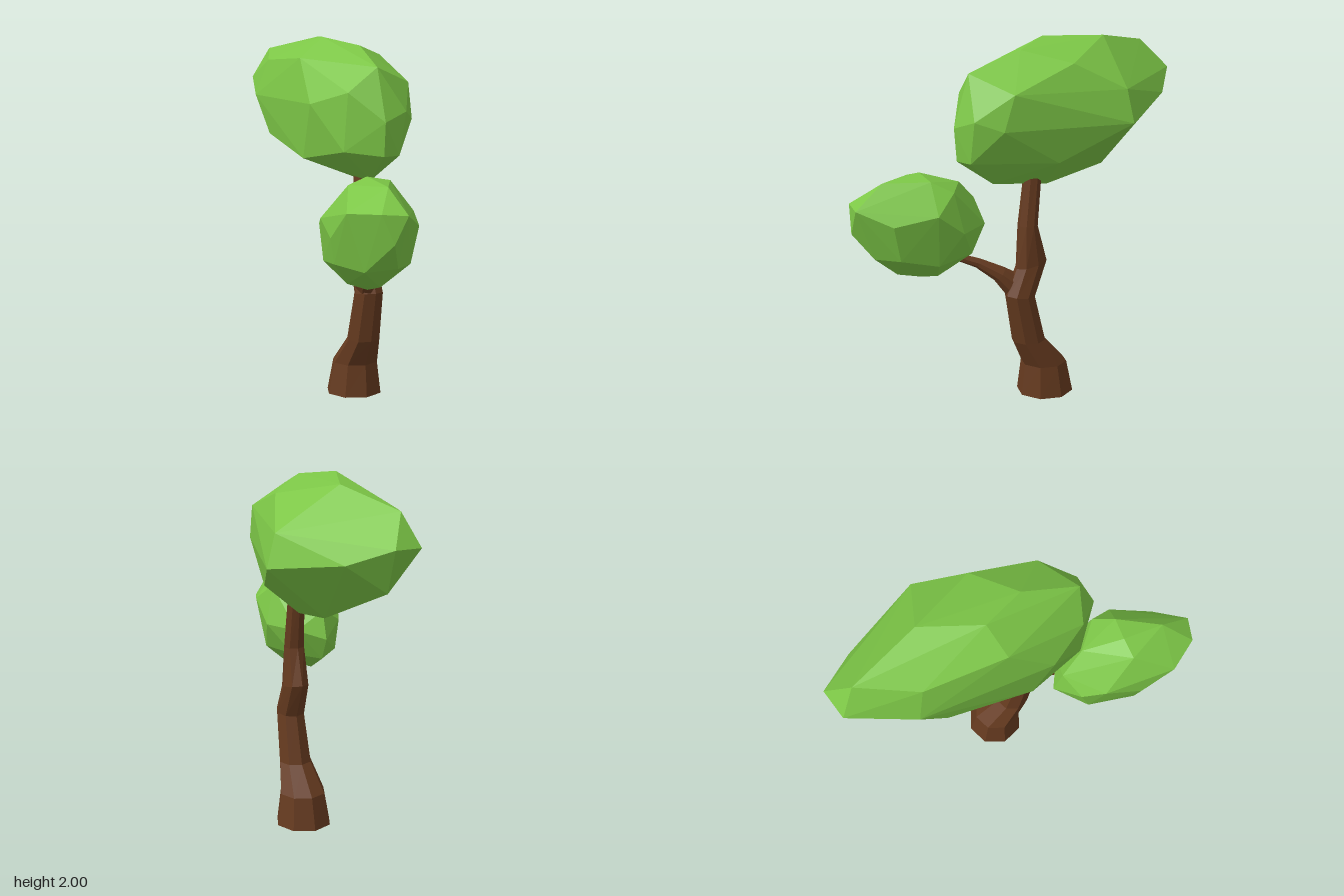
import * as THREE from 'three';
import { ConvexGeometry } from 'three/addons/geometries/ConvexGeometry.js';

const SIDES = 8;
const bark = new THREE.MeshStandardMaterial({ color: 0x653a1f, flatShading: true });
const leaf = new THREE.MeshStandardMaterial({ color: 0x7cc646, flatShading: true });

// Closed tube through rings of [x, y, z, radiusX, radiusZ, tilt about x]
function loft(rings) {
  const pos = [], index = [];
  const xAxis = new THREE.Vector3(1, 0, 0);
  for (const [x, y, z, rx, rz, tilt = 0] of rings) {
    for (let k = 0; k < SIDES; k++) {
      const a = (k / SIDES) * Math.PI * 2;
      const p = new THREE.Vector3(Math.cos(a) * rx, 0, Math.sin(a) * rz).applyAxisAngle(xAxis, tilt);
      pos.push(x + p.x, y + p.y, z + p.z);
    }
  }
  const last = (rings.length - 1) * SIDES;
  for (let i = 0; i < last; i += SIDES) {
    for (let k = 0; k < SIDES; k++) {
      const a = i + k, b = i + (k + 1) % SIDES;
      index.push(a, a + SIDES, b, b, a + SIDES, b + SIDES);
    }
  }
  for (let k = 1; k < SIDES - 1; k++) {
    index.push(0, k, k + 1, last, last + k + 1, last + k);
  }
  const g = new THREE.BufferGeometry();
  g.setAttribute('position', new THREE.Float32BufferAttribute(pos, 3));
  g.setIndex(index);
  g.computeVertexNormals();
  return g;
}

// Faceted foliage: the hull around a few corner points
const foliage = (points) => new ConvexGeometry(points.map((p) => new THREE.Vector3(...p)));

export function createModel() {
  const tree = new THREE.Group();
  tree.name = 'tree';
  const add = (name, geometry, material) => {
    const mesh = new THREE.Mesh(geometry, material);
    mesh.name = name;
    tree.add(mesh);
  };

  // Bent trunk with a flared foot
  add('trunk', loft([
    [0.058, 0, -0.06, 0.158, 0.16],
    [0.06, 0.18, -0.05, 0.13, 0.13],
    [0.058, 0.33, 0.055, 0.093, 0.095],
    [0.06, 0.605, 0.115, 0.08, 0.087, -0.1],
    [0.063, 0.78, 0.04, 0.07, 0.1, 0.2],
    [0.06, 1.0, 0.062, 0.06, 0.053],
    [0.06, 1.3, 0.027, 0.048, 0.05],
  ]), bark);

  // Side branch reaching into the lower foliage
  add('branch', loft([
    [0.04, 0.64, 0.11, 0.06, 0.08, 0.6],
    [0.0, 0.735, 0.215, 0.04, 0.045, 0.8],
    [-0.06, 0.8, 0.315, 0.027, 0.027, 1.1],
    [-0.13, 0.85, 0.44, 0.02, 0.018, 1.1],
  ]), bark);

  // Large upper canopy, drawn out towards the back
  add('upperFoliage', foliage([
    // crown
    [-0.09, 2.0, -0.15], [0.04, 1.99, -0.47], [0.02, 1.96, 0.08], [-0.1, 1.91, -0.86],
    [0.24, 1.9, -0.11], [-0.25, 1.89, -0.1], [-0.24, 1.86, -0.55],
    // back tip
    [-0.005, 1.75, -0.99], [-0.17, 1.74, -0.95], [0.17, 1.65, -0.8], [-0.04, 1.5, -0.85],
    // left and right sides
    [0.36, 1.75, -0.38], [0.41, 1.57, -0.39], [0.26, 1.38, 0.0], [0.22, 1.77, 0.26],
    [0.21, 1.58, 0.32], [-0.3, 1.66, 0.13], [-0.3, 1.66, -0.6], [-0.29, 1.36, 0.02],
    [-0.28, 1.45, -0.45],
    // front
    [-0.03, 1.86, 0.38], [0.11, 1.63, 0.44], [-0.03, 1.58, 0.475], [-0.18, 1.73, 0.34],
    [0.07, 1.4, 0.44], [-0.03, 1.4, 0.46], [-0.2, 1.42, 0.33],
    // underside
    [0.1, 1.285, -0.42], [0.08, 1.22, -0.05], [0.0, 1.25, 0.25],
  ]), leaf);

  // Small lower canopy on the branch
  add('lowerFoliage', foliage([
    // lengthwise outline
    [-0.18, 1.18, 0.995], [-0.25, 1.04, 0.985], [-0.2, 1.3, 0.82], [-0.2, 1.325, 0.59],
    [-0.15, 1.25, 0.37], [-0.2, 1.13, 0.24], [-0.2, 0.97, 0.19], [-0.2, 0.84, 0.25],
    [-0.2, 0.75, 0.4], [-0.2, 0.74, 0.6], [-0.2, 0.78, 0.74], [-0.18, 0.9, 0.89],
    // widest outline
    [-0.33, 1.05, 0.3], [-0.38, 1.1, 0.42], [-0.42, 1.03, 0.62], [-0.42, 1.18, 0.8],
    [-0.31, 1.19, 0.96], [-0.04, 1.1, 0.85], [0.05, 1.14, 0.63], [0.05, 1.02, 0.47],
    [-0.05, 1.02, 0.27],
    // shoulders and belly
    [-0.07, 1.3, 0.6], [0.0, 1.24, 0.5], [-0.31, 1.29, 0.6], [0.0, 0.85, 0.6],
    [-0.1, 0.76, 0.55], [-0.29, 0.77, 0.55], [-0.39, 0.89, 0.6], [-0.33, 0.88, 0.82],
    [-0.06, 0.9, 0.8], [-0.33, 0.86, 0.35], [-0.06, 0.86, 0.35],
  ]), leaf);

  return tree;
}
